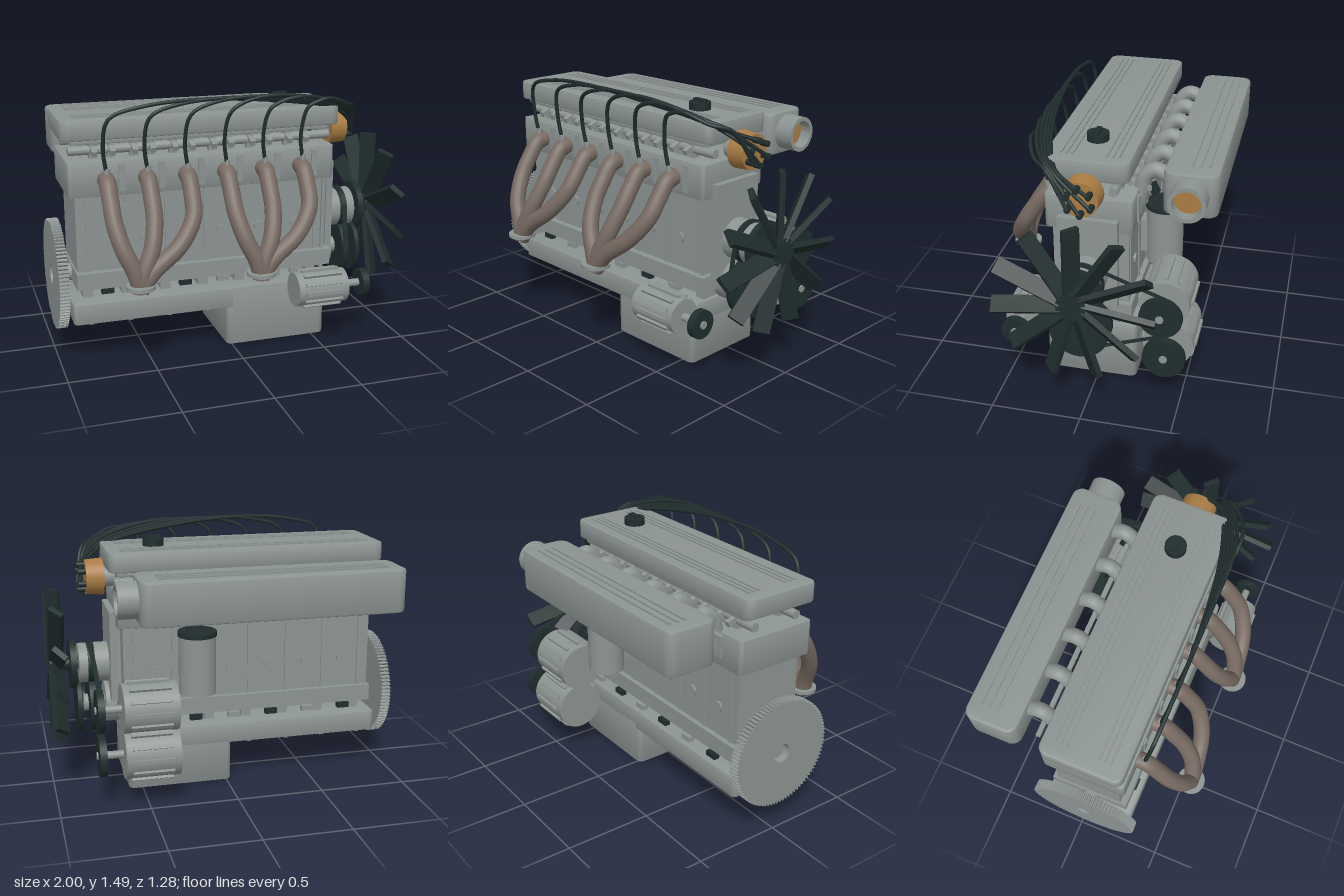
import * as THREE from 'three';
import { toCreasedNormals } from 'three/addons/utils/BufferGeometryUtils.js';

export function createModel() {
  const root = new THREE.Group();
  root.name = 'engine';
  const mat = (name, color) => {
    const m = new THREE.MeshStandardMaterial({ color });
    m.name = name;
    return m;
  };
  const metal = mat('cast metal', 0x8c9492);
  const dark = mat('dark rubber', 0x202d2d);
  const brown = mat('exhaust brown', 0x776a62);
  const amber = mat('amber', 0xa97c44);

  // Helpers: all extents are given as min/max along each axis
  const add = (name, geo, m, x = 0, y = 0, z = 0) => {
    const mesh = new THREE.Mesh(geo, m);
    mesh.name = name;
    mesh.position.set(x, y, z);
    root.add(mesh);
    return mesh;
  };
  const box = (name, x0, x1, y0, y1, z0, z1, m = metal) =>
    add(name, new THREE.BoxGeometry(x1 - x0, y1 - y0, z1 - z0), m, (x0 + x1) / 2, (y0 + y1) / 2, (z0 + z1) / 2);
  const cylX = (name, r, x0, x1, y, z, m = metal, r2 = r) =>
    add(name, new THREE.CylinderGeometry(r2, r, x1 - x0, 36).rotateZ(-Math.PI / 2), m, (x0 + x1) / 2, y, z);
  const cylY = (name, r, y0, y1, x, z, m = metal) =>
    add(name, new THREE.CylinderGeometry(r, r, y1 - y0, 32), m, x, (y0 + y1) / 2, z);
  const cylZ = (name, r, z0, z1, x, y, m = metal) =>
    add(name, new THREE.CylinderGeometry(r, r, z1 - z0, 20).rotateX(Math.PI / 2), m, x, y, (z0 + z1) / 2);
  const tube = (name, pts, r, m, seg = 32, sides = 14) =>
    add(name, new THREE.TubeGeometry(new THREE.CatmullRomCurve3(pts.map(p => new THREE.Vector3(...p)), false, 'centripetal'), seg, r, sides), m);
  // Slab with rounded vertical corners and a bevelled rim
  const slab = (name, x0, x1, y0, y1, z0, z1, r, b = 0.012) => {
    const s = new THREE.Shape();
    const X = x1 - b, W = x0 + b, Z = z1 - b, N = z0 + b;
    s.absarc(X - r, Z - r, r, 0, Math.PI / 2);
    s.absarc(W + r, Z - r, r, Math.PI / 2, Math.PI);
    s.absarc(W + r, N + r, r, Math.PI, Math.PI * 1.5);
    s.absarc(X - r, N + r, r, Math.PI * 1.5, Math.PI * 2);
    const g = new THREE.ExtrudeGeometry(s, { depth: y1 - y0 - 2 * b, bevelSize: b, bevelThickness: b, bevelSegments: 2, curveSegments: 6 });
    g.rotateX(Math.PI / 2);
    return add(name, toCreasedNormals(g, 0.6), metal, 0, y1 - b, 0);
  };
  // Outline in the z-y plane, extruded along x
  const extrudeX = (name, shape, x0, x1, m) => {
    const g = new THREE.ExtrudeGeometry(shape, { depth: x1 - x0, bevelEnabled: false, curveSegments: 24 });
    return add(name, toCreasedNormals(g.rotateY(Math.PI / 2), 0.5), m, x0, 0, 0);
  };

  const axisZ = 0.04, crankY = 0.47, fanY = 0.715;
  const ports = [-0.715, -0.49, -0.265, -0.04, 0.185, 0.41];

  // Block, head and crankcase
  box('block', -0.88, 0.58, 0.5, 0.97, -0.17, 0.225);
  box('blockRail', -0.89, 0.62, 0.43, 0.525, -0.2, 0.265);
  slab('cylinderHead', -0.92, 0.62, 0.965, 1.16, -0.205, 0.275, 0.015, 0.006);
  slab('crankcaseSkirt', -0.92, 0.58, 0.24, 0.36, -0.22, 0.3, 0.02, 0.006);
  slab('oilPan', -0.03, 0.58, 0.005, 0.355, -0.22, 0.3, 0.025, 0.01);
  for (let i = 0; i < 7; i++) {
    const x = -0.82 + i * 0.225;
    box('mainBearing', x - 0.03, x + 0.03, 0.35, 0.44, -0.12, 0.19);
    box('blockRib', x - 0.008, x + 0.008, 0.525, 0.965, -0.178, 0.233);
    if (x < -0.1) box('skirtRib', x - 0.012, x + 0.012, 0.23, 0.25, -0.2, 0.28);
  }
  cylX('crankshaft', 0.05, -0.96, 0.8, crankY, axisZ);
  ports.forEach((x, i) => {
    cylX('counterweight', 0.1, x - 0.045, x - 0.02, crankY, axisZ);
    cylX('counterweight', 0.1, x + 0.02, x + 0.045, crankY, axisZ);
    cylZ('corePlug', 0.03, -0.182, 0.237, x, 0.7);
    box('headRib', x + 0.07, x + 0.105, 0.99, 1.14, -0.215, 0.285);
    for (const z of [-0.2, 0.262]) box('railBolt', x - 0.04, x + 0.03, 0.4, 0.43, z - 0.025, z + 0.01, i % 2 ? metal : dark);
  });

  // Valve cover, its ridges and the filler cap
  slab('valveCover', -0.95, 0.655, 1.275, 1.385, -0.19, 0.275, 0.04);
  slab('coverFlange', -0.9, 0.61, 1.25, 1.28, -0.165, 0.25, 0.03, 0.004);
  for (const z of [-0.12, -0.088, -0.056, 0.125, 0.157, 0.189])
    box('coverRidge', -0.87, 0.58, 1.38, 1.392, z - 0.006, z + 0.006);
  cylY('fillerCap', 0.06, 1.385, 1.427, 0.37, axisZ, dark);
  box('fillerGrip', 0.33, 0.41, 1.42, 1.443, 0.025, 0.055, dark);

  // Rocker gear between head and cover
  for (const z of [-0.1, 0.18]) {
    cylX('rockerShaft', 0.025, -0.9, 0.62, 1.205, z);
    for (const px of ports) for (const d of [-0.05, 0.05]) {
      const arm = box('rockerArm', px + d - 0.015, px + d + 0.015, 1.205, 1.235, z - 0.075, z + 0.075);
      arm.rotation.x = z > 0 ? 0.35 : -0.35;
      box('rockerPost', px + d - 0.02, px + d + 0.02, 1.15, 1.255, z - 0.02, z + 0.02);
    }
  }

  // Intake plenum, runners, rail and injectors
  slab('intakePlenum', -0.91, 0.555, 1.075, 1.318, -0.637, -0.343, 0.045, 0.015);
  for (const z of [-0.57, -0.525, -0.48]) box('plenumRidge', -0.82, 0.45, 1.31, 1.326, z - 0.007, z + 0.007);
  const inletShape = new THREE.Shape().absarc(0.49, 1.2, 0.1, 0, Math.PI * 2);
  inletShape.holes.push(new THREE.Path().absarc(0.49, 1.2, 0.077, 0, Math.PI * 2, true));
  extrudeX('intakeInlet', inletShape, 0.54, 0.665, metal);
  cylX('inletFilter', 0.078, 0.55, 0.6, 1.2, -0.49, amber);
  for (const x of ports) {
    tube('intakeRunner', [[x, 1.06, -0.19], [x, 1.13, -0.205], [x, 1.22, -0.23], [x, 1.26, -0.28], [x, 1.23, -0.36]], 0.043, metal);
    box('runnerFlange', x - 0.06, x + 0.06, 1.02, 1.13, -0.22, -0.2);
    const inj = box('injector', x - 0.022, x + 0.022, 1.12, 1.18, -0.295, -0.255, dark);
    inj.rotation.x = 0.5;
  }
  box('fuelRail', -0.83, 0.45, 1.15, 1.175, -0.268, -0.243);

  // Exhaust pipes, three to each collector
  const plugX = ports;
  ports.forEach((x, i) => {
    const c = i < 3 ? -0.6 : 0.08;
    const mix = t => x + (c - x) * t;
    tube('exhaustPipe', [[x, 1.06, 0.26], [x, 1.05, 0.325], [x, 0.97, 0.39], [mix(0.04), 0.86, 0.46],
      [mix(0.32), 0.73, 0.525], [mix(0.78), 0.61, 0.555], [c, 0.515, 0.56]], 0.047, brown, 44, 18);
    add('pipeElbow', new THREE.SphereGeometry(0.047, 18, 12), brown, x, 1.05, 0.31);
    cylY('plugBoot', 0.016, 1.07, 1.13, x, 0.315, metal);
  });
  for (const c of [-0.6, 0.08]) {
    cylY('collectorFlange', 0.08, 0.525, 0.545, c, 0.56);
    cylY('collector', 0.05, 0.505, 0.54, c, 0.56, brown);
  }

  // Distributor and plug wires
  cylX('distributorBase', 0.06, 0.6, 0.68, 1.22, axisZ);
  cylX('distributor', 0.105, 0.665, 0.765, 1.22, axisZ, amber, 0.098);
  plugX.forEach((x, i) => {
    const a = i * Math.PI / 3 + 0.4;
    const y = 1.22 + 0.07 * Math.sin(a), z = axisZ + 0.07 * Math.cos(a);
    cylX('distributorTerminal', 0.017, 0.75, 0.81, y, z, dark);
    const peak = 1.48 - Math.max(0, x) * 0.08;
    const k = (0.8 - x);
    tube('plugWire', [[x, 1.09, 0.315], [x - 0.02, 1.25, 0.33], [x + 0.01, 1.4, 0.35], [x + k * 0.13, peak - 0.02, 0.357],
      [x + k * 0.35, peak, 0.355], [x + k * 0.7, peak - 0.05, 0.3], [x + k * 0.9, 1.36, 0.21], [0.805, y, z]], 0.011, dark, 56, 8);
  });

  // Flywheel with ring-gear teeth
  const wheel = new THREE.Shape();
  const teeth = 90;
  for (let i = 0; i < teeth * 4; i++) {
    const a = i / (teeth * 4) * Math.PI * 2, r = i % 4 < 2 ? 0.315 : 0.3;
    wheel[i ? 'lineTo' : 'moveTo'](-axisZ + r * Math.cos(a), crankY + r * Math.sin(a));
  }
  wheel.holes.push(new THREE.Path().absarc(-axisZ, crankY, 0.055, 0, Math.PI * 2, true));
  extrudeX('flywheel', wheel, -1, -0.945, metal);

  // Timing cover, chain and water pump
  box('timingCover', 0.615, 0.655, 0.52, 1.045, -0.13, 0.2);
  box('frontPlate', 0.57, 0.59, 0.4, 1.0, -0.18, 0.24);
  cylX('timingHub', 0.12, 0.6, 0.68, crankY, axisZ);
  for (let i = 0; i < 18; i++) for (const z of [-0.07, 0.15])
    box('chainLink', 0.588, 0.615, 0.55 + i * 0.024, 0.566 + i * 0.024, z - 0.01, z + 0.01);
  cylX('waterPump', 0.115, 0.65, 0.825, fanY, axisZ);
  cylX('pumpPulley', 0.145, 0.84, 0.875, fanY, axisZ, dark);
  cylX('pumpBeltPulley', 0.12, 0.735, 0.775, fanY, axisZ, dark);
  cylX('crankPulley', 0.165, 0.82, 0.845, crankY, axisZ, dark);
  cylX('crankBeltPulley', 0.165, 0.735, 0.775, crankY, axisZ, dark);
  cylX('fanShaft', 0.035, 0.8, 0.95, fanY, axisZ, dark);

  // Fan with eleven pitched blades
  const fan = new THREE.Group();
  fan.name = 'fan';
  fan.position.set(0.953, fanY, axisZ);
  root.add(fan);
  const hub = new THREE.Mesh(new THREE.CylinderGeometry(0.08, 0.08, 0.075, 32).rotateZ(Math.PI / 2), dark);
  hub.name = 'fanHub';
  fan.add(hub);
  for (let i = 0; i < 11; i++) {
    const g = new THREE.BoxGeometry(0.03, 0.385, 0.092).rotateY(0.8).translate(0, 0.25, 0);
    const blade = new THREE.Mesh(g, dark);
    blade.name = 'fanBlade';
    blade.rotation.x = i / 11 * Math.PI * 2;
    fan.add(blade);
  }

  // Belt-driven units: ribbed body, shaft and pulley
  const unit = (name, y, z, r, pr) => {
    cylX(name, r - 0.006, 0.33, 0.635, y, z);
    for (let i = 0; i < 12; i++) {
      const a = i * Math.PI / 6;
      const rib = box(name + 'Rib', 0.37, 0.6, -0.01, 0.01, -0.012, 0.012);
      rib.position.set(0.485, y + (r - 0.004) * Math.sin(a), z + (r - 0.004) * Math.cos(a));
      rib.rotation.x = -a;
    }
    cylX(name + 'Shaft', 0.022, 0.63, 0.783, y, z);
    cylX(name + 'Pulley', pr, 0.735, 0.775, y, z, dark);
  };
  unit('starterPump', 0.358, 0.425, 0.105, 0.08);
  unit('alternator', 0.565, -0.385, 0.145, 0.115);
  unit('compressor', 0.31, -0.41, 0.147, 0.118);

  // Drive belt wrapped round crank, pump and alternator pulleys
  const wraps = [[-axisZ, crankY, 0.165], [-axisZ, fanY, 0.12], [0.385, 0.565, 0.115]];
  const loop = off => Array.from({ length: 96 }, (_, i) => {
    const c = Math.cos(i * Math.PI / 48), s = Math.sin(i * Math.PI / 48);
    const reach = w => w[0] * c + w[1] * s + w[2];
    const w = wraps.reduce((p, q) => (reach(q) > reach(p) ? q : p));
    return new THREE.Vector2(w[0] + (w[2] + off) * c, w[1] + (w[2] + off) * s);
  });
  const belt = new THREE.Shape(loop(0.006));
  belt.holes.push(new THREE.Path(loop(0).reverse()));
  extrudeX('driveBelt', belt, 0.742, 0.768, dark);

  // Upright filter canister
  cylY('filterCanister', 0.105, 0.6, 0.935, 0.19, -0.3);
  cylY('canisterLid', 0.11, 0.932, 0.957, 0.19, -0.3, dark);
  box('canisterBracket', 0.14, 0.24, 0.65, 0.85, -0.25, -0.16);

  return root;
}
